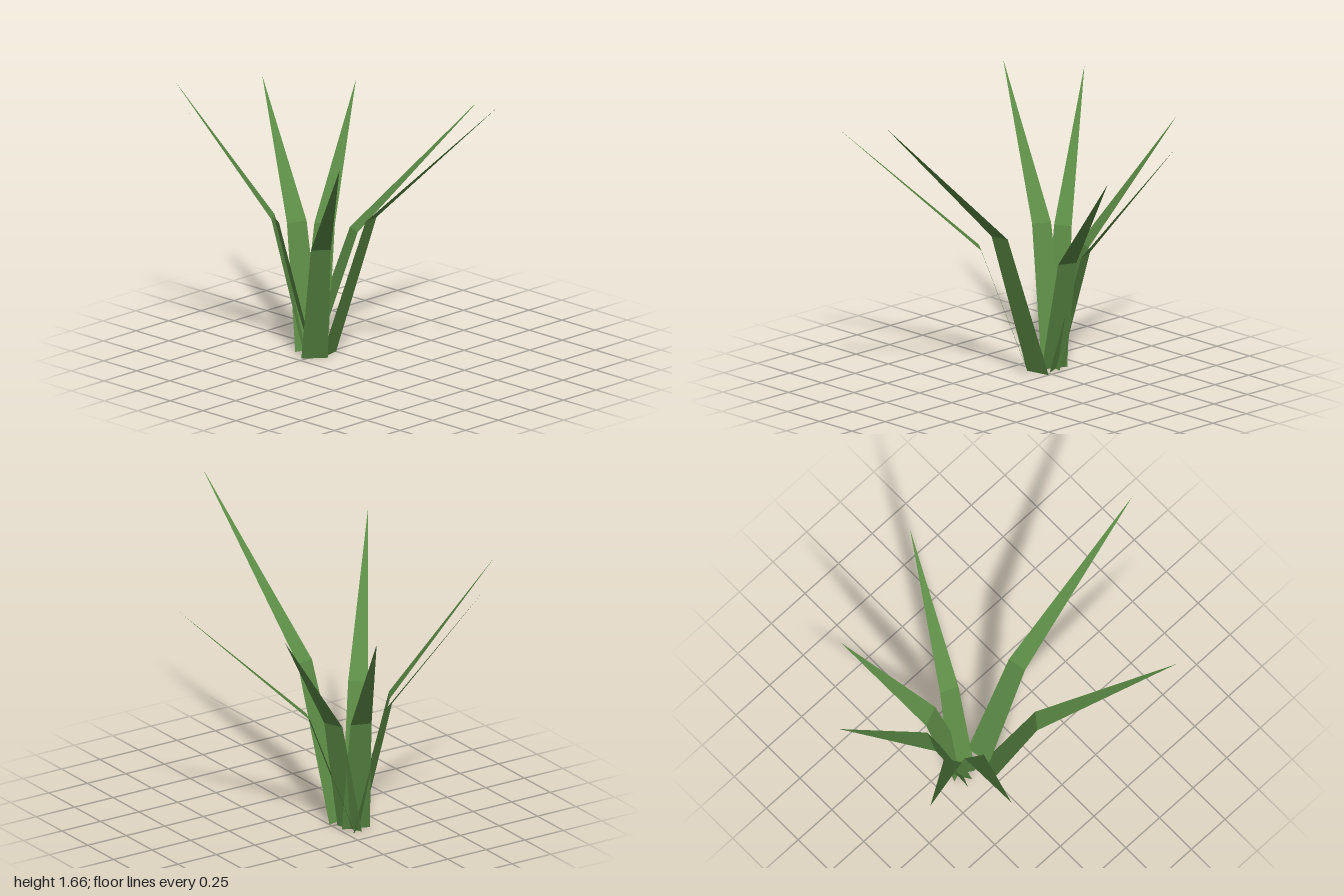
import * as THREE from 'three';

// Each blade: tip, then x and z of its two edges at the fold.
// The fold sits at half the tip height and a quarter of the way out.
const BLADES = [
  { name: 'frontBlade', tip: [0, 1.66, 1], fold: [[-0.105, 0.1], [0, 0.08]] },
  { name: 'frontRightBlade', tip: [-0.79, 1.385, 0.58], fold: [[-0.365, -0.057], [-0.28, 0.01]] },
  { name: 'leftBlade', tip: [0.78, 1.315, 0.085], fold: [[0.12, -0.182], [0.16, -0.28]] },
  { name: 'backLeftBlade', tip: [0.565, 1.32, -0.635], fold: [[0.12, -0.355], [0.075, -0.465]] },
  { name: 'backBlade', tip: [0.205, 1.345, -0.99], fold: [[0.04, -0.49], [-0.07, -0.53]] },
  { name: 'backRightBlade', tip: [-0.49, 1.48, -0.97], fold: [[-0.15, -0.545], [-0.23, -0.49]] },
  { name: 'rightBlade', tip: [-0.79, 1.52, -0.65], fold: [[-0.23, -0.468], [-0.285, -0.378]] },
];

// A folded leaf: a four-sided stem panel and a pointed upper panel
function bladeGeometry(tip, fold) {
  const [tx, ty, tz] = tip;
  const mid = fold.map(([x, z]) => [x, ty / 2, z]);
  const base = fold.map(([x, z]) => [x - (tx - x) / 3, 0, z - (tz - z) / 3]);
  const corners = [
    base[0], mid[0], base[1],
    base[1], mid[0], mid[1],
    mid[0], tip, mid[1],
  ];
  const geometry = new THREE.BufferGeometry();
  geometry.setAttribute('position', new THREE.Float32BufferAttribute(corners.flat(), 3));
  geometry.computeVertexNormals();
  return geometry;
}

export function createModel() {
  const plant = new THREE.Group();
  plant.name = 'grassTuft';

  const leafGreen = new THREE.MeshStandardMaterial({
    color: 0x5b8a45,
    side: THREE.DoubleSide,
    flatShading: true,
  });
  leafGreen.name = 'leafGreen';

  for (const { name, tip, fold } of BLADES) {
    const blade = new THREE.Mesh(bladeGeometry(tip, fold), leafGreen);
    blade.name = name;
    plant.add(blade);
  }
  return plant;
}
